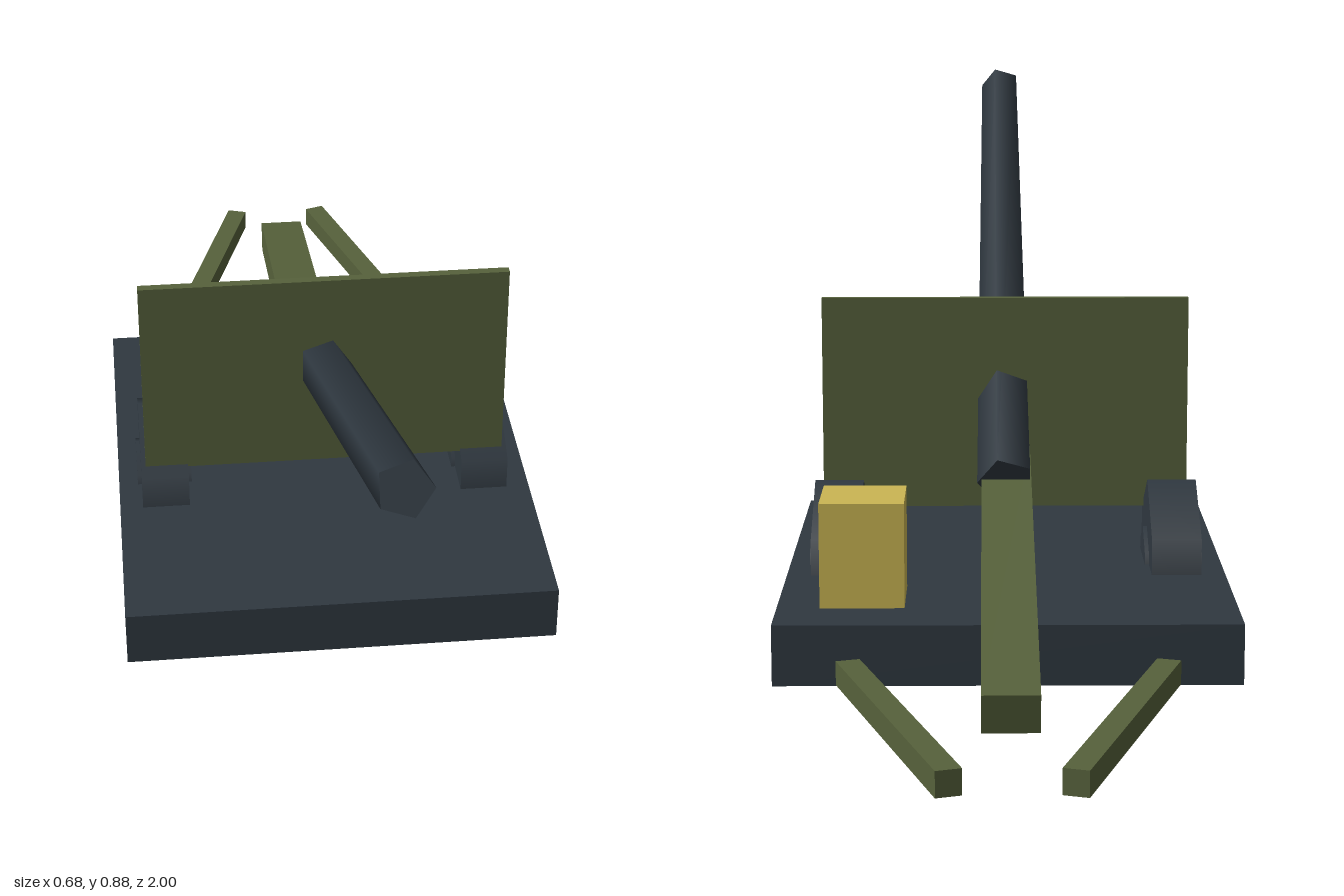
import * as THREE from 'three';

export function createModel() {
  const model = new THREE.Group();
  model.name = 'fieldGun';

  const material = (name, color) => {
    const m = new THREE.MeshStandardMaterial({ color });
    m.name = name;
    return m;
  };
  const steel = material('dark steel', 0x2f3840);
  const olive = material('olive paint', 0x56613b);
  const yellow = material('crate yellow', 0xcbb653);

  const add = (name, geometry, mat, x, y, z) => {
    const mesh = new THREE.Mesh(geometry, mat);
    mesh.name = name;
    mesh.position.set(x, y, z);
    model.add(mesh);
    return mesh;
  };
  const box = (w, h, d) => new THREE.BoxGeometry(w, h, d);

  // Six-sided drum lying along x with a corner at the top
  const drum = (radius, width) =>
    new THREE.CylinderGeometry(radius, radius, width, 6, 1, false, Math.PI / 6).rotateZ(Math.PI / 2);

  // Platform
  add('platform', box(0.68, 0.09, 0.808), steel, 0, 0.11, -0.075);

  // Wheels, hubs and rear legs, mirrored
  for (const side of [-1, 1]) {
    const prefix = side > 0 ? 'left' : 'right';
    add(prefix + 'Wheel', drum(0.14, 0.077), steel, side * 0.264, 0.14, -0.075);
    add(prefix + 'Hub', drum(0.064, 0.09), steel, side * 0.264, 0.14, -0.075);
    const leg = add(prefix + 'RearLeg', box(0.035, 0.035, 0.49), olive, side * 0.153, 0.101, -0.762);
    leg.rotation.y = side * 0.31;
  }

  // Five-sided tapering barrel, raised 25 degrees
  const elevation = THREE.MathUtils.degToRad(25);
  const barrel = new THREE.CylinderGeometry(0.037, 0.045, 1.3, 5, 1, false, Math.PI / 2)
    .rotateX(Math.PI / 2 - elevation);
  add('barrel', barrel, steel, 0, 0.576, 0.396);

  // Shield
  add('shield', box(0.59, 0.342, 0.014), olive, 0, 0.389, 0.018);

  // Trail sloping down to the back
  const trail = add('trail', box(0.077, 0.055, 0.803), olive, 0, 0.224, -0.456);
  trail.rotation.x = -0.208;

  // Ammunition crate
  add('crate', box(0.125, 0.157, 0.125), yellow, 0.214, 0.2335, -0.324);

  return model;
}
